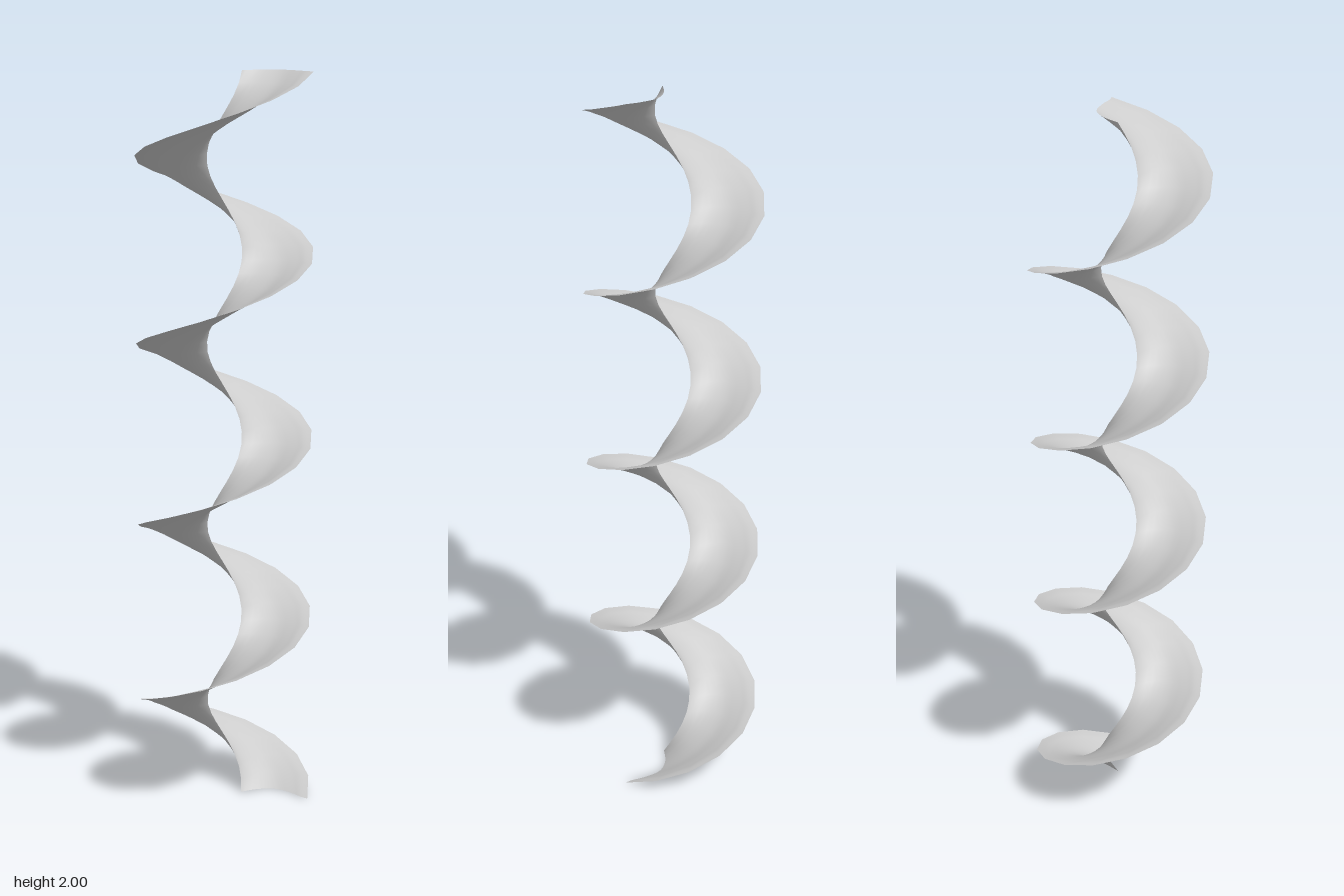
import * as THREE from 'three';

const TURNS = 4;
const STEPS_PER_TURN = 16;
const HEIGHT = 2;

export function createModel() {
  const group = new THREE.Group();
  group.name = 'spiral';

  // Curved horizontal edge of the blade: x = outwards, y = sideways sweep
  const edge = new THREE.SplineCurve([
    [0.047, 0], [0.09, 0.034], [0.139, 0.047], [0.189, 0.027], [0.216, 0.009], [0.238, 0],
  ].map(([x, y]) => new THREE.Vector2(x, y)));

  // Ribbon: the edge is turned about the y axis while it rises
  const geometry = new THREE.PlaneGeometry(1, 1, 16, TURNS * STEPS_PER_TURN);
  const position = geometry.attributes.position;
  const uv = geometry.attributes.uv;
  for (let i = 0; i < position.count; i++) {
    const p = edge.getPoint(uv.getX(i));
    const rise = uv.getY(i);
    p.rotateAround(new THREE.Vector2(), rise * TURNS * Math.PI * 2);
    position.setXYZ(i, p.x, rise * HEIGHT, -p.y);
  }
  geometry.computeVertexNormals();

  const blade = new THREE.Mesh(
    geometry,
    new THREE.MeshStandardMaterial({ color: 0xcccccc, side: THREE.DoubleSide })
  );
  blade.name = 'helicalBlade';
  group.add(blade);
  return group;
}
